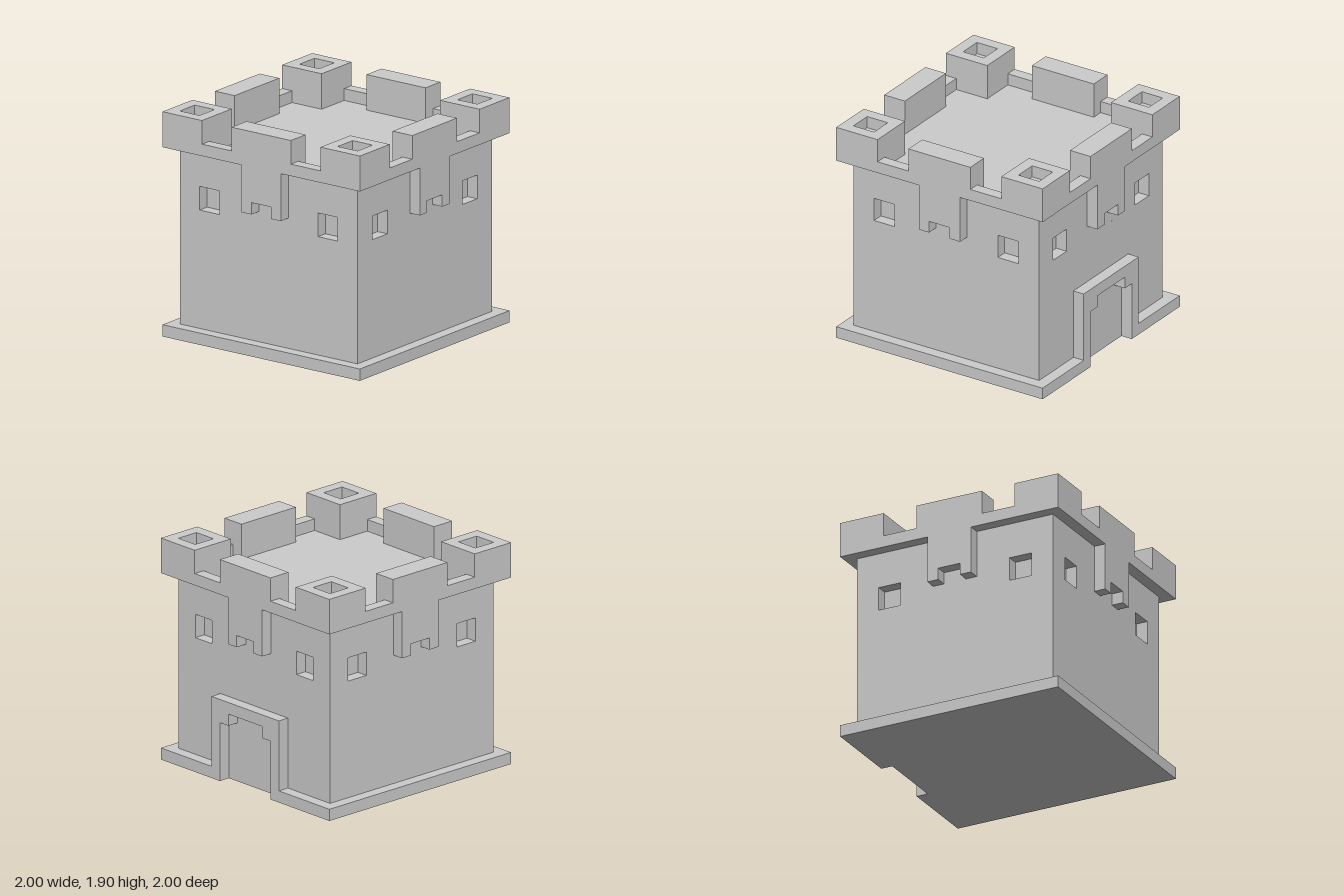
import * as THREE from 'three';

const material = new THREE.MeshStandardMaterial({ color: 0xcccccc, flatShading: true });

function add(parent, name, geometry) {
  const mesh = new THREE.Mesh(geometry, material);
  mesh.name = name;
  parent.add(mesh);
  return mesh;
}

// Box given by its lowest and highest corners
function box(parent, name, [x0, y0, z0], [x1, y1, z1]) {
  const mesh = add(parent, name, new THREE.BoxGeometry(x1 - x0, y1 - y0, z1 - z0));
  mesh.position.set((x0 + x1) / 2, (y0 + y1) / 2, (z0 + z1) / 2);
  return mesh;
}

const points = (list) => list.map(([x, y]) => new THREE.Vector2(x, y));
const square = (x, y, h) => points([[x - h, y - h], [x + h, y - h], [x + h, y + h], [x - h, y + h]]);

// Plate 0.1 thick cut from an outline, with optional holes
function plate(outline, holes = []) {
  const shape = new THREE.Shape(points(outline));
  for (const hole of holes) shape.holes.push(new THREE.Path(hole));
  return new THREE.ExtrudeGeometry(shape, { depth: 0.1, bevelEnabled: false });
}

export function createModel() {
  const castle = new THREE.Group();
  castle.name = 'castleKeep';

  // Plinth, notched at the back for the doorway
  const plinth = plate([
    [-1, -1], [1, -1], [1, 1], [0.3, 1], [0.3, 0.9], [-0.3, 0.9], [-0.3, 1], [-1, 1],
  ]);
  add(castle, 'plinth', plinth.rotateX(-Math.PI / 2));

  // Solid core: window backs and roof floor
  box(castle, 'core', [-0.8, 0.1, -0.8], [0.8, 1.6, 0.8]);

  // Wall panel with two window recesses
  const wall = plate(
    [[-0.9, 0.1], [0.8, 0.1], [0.8, 1.6], [-0.9, 1.6]],
    [square(-0.6, 1.2, 0.1), square(0.6, 1.2, 0.1)],
  );

  // Parapet with a middle merlon and a notched apron hanging below it
  const parapet = plate([
    [-0.6, 1.6], [-0.2, 1.6], [-0.2, 1.2], [-0.1, 1.2], [-0.1, 1.3], [0.1, 1.3],
    [0.1, 1.2], [0.2, 1.2], [0.2, 1.6], [0.6, 1.6], [0.6, 1.7], [0.3, 1.7],
    [0.3, 1.9], [-0.3, 1.9], [-0.3, 1.7], [-0.6, 1.7],
  ]);

  // Turret rim around a square well
  const rim = plate(
    [[0.6, -1], [1, -1], [1, -0.6], [0.6, -0.6]],
    [square(0.8, -0.8, 0.1)],
  ).rotateX(-Math.PI / 2);

  // The four sides are alike
  ['front', 'left', 'back', 'right'].forEach((name, i) => {
    const side = new THREE.Group();
    side.name = name + 'Side';
    side.rotation.y = (i * Math.PI) / 2;
    castle.add(side);
    add(side, 'wall', wall).position.z = 0.8;
    add(side, 'parapet', parapet).position.z = 0.9;
    box(side, 'merlonBacking', [-0.3, 1.6, 0.8], [0.3, 1.9, 0.9]);
    box(side, 'cornerTurret', [0.6, 1.6, 0.6], [1, 1.8, 1]);
    add(side, 'turretRim', rim).position.y = 1.8;
  });

  // Stepped door frame on the back wall
  const frame = plate([
    [-0.4, 0.1], [-0.3, 0.1], [-0.3, 0.5], [-0.2, 0.5], [-0.2, 0.6], [0.2, 0.6],
    [0.2, 0.5], [0.3, 0.5], [0.3, 0.1], [0.4, 0.1], [0.4, 0.7], [-0.4, 0.7],
  ]);
  add(castle, 'doorFrame', frame).position.z = -1;

  // Door sill continuing the wall down to the ground inside the notch is the plinth itself
  return castle;
}
